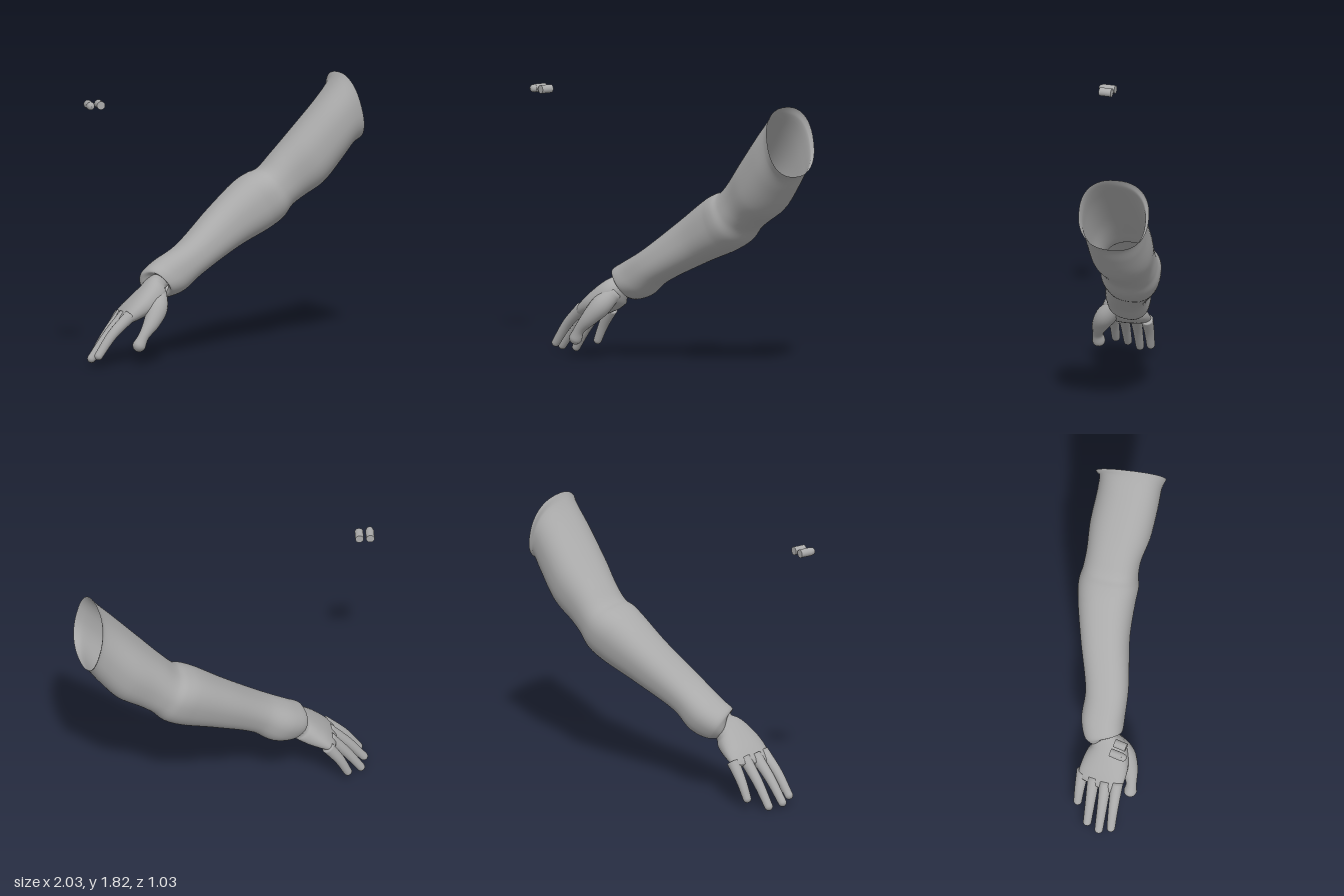
import * as THREE from 'three';

const gray = new THREE.MeshStandardMaterial({ color: 0xaaaaaa, side: THREE.DoubleSide });
gray.name = 'plain gray';

const v3 = (x, y, z) => new THREE.Vector3(x, y, z);

// Skins a list of rings {c, u, v} (v = direction x u) with smooth normals.
function skin(rings, sides, power, closeStart, closeEnd) {
  const pos = [], idx = [];
  const bend = (n) => Math.sign(n) * Math.pow(Math.abs(n), power);
  rings.forEach(({ c, u, v }) => {
    for (let j = 0; j < sides; j++) {
      const a = (j / sides) * Math.PI * 2;
      const p = c.clone().addScaledVector(u, bend(Math.cos(a))).addScaledVector(v, bend(Math.sin(a)));
      pos.push(p.x, p.y, p.z);
    }
  });
  const n = rings.length;
  for (let i = 0; i < n - 1; i++) {
    for (let j = 0; j < sides; j++) {
      const k = (j + 1) % sides;
      const a = i * sides + j, b = i * sides + k;
      idx.push(a, b, b + sides, a, b + sides, a + sides);
    }
  }
  const cap = (ring, flip) => {
    const mid = pos.length / 3, c = rings[ring].c;
    pos.push(c.x, c.y, c.z);
    for (let j = 0; j < sides; j++) {
      const a = ring * sides + j, b = ring * sides + ((j + 1) % sides);
      if (flip) idx.push(mid, b, a);
      else idx.push(mid, a, b);
    }
  };
  if (closeStart) cap(0, true);
  if (closeEnd) cap(n - 1, false);
  const g = new THREE.BufferGeometry();
  g.setAttribute('position', new THREE.Float32BufferAttribute(pos, 3));
  g.setIndex(idx);
  g.computeVertexNormals();
  return g;
}

// Sections: [topX, topY, bottomX, bottomY, centreZ, halfWidth]
function sectionLoft(sections, steps, sides, power, closeStart, closeEnd) {
  const top = new THREE.CatmullRomCurve3(sections.map((s) => v3(s[0], s[1], s[4])));
  const bottom = new THREE.CatmullRomCurve3(sections.map((s) => v3(s[2], s[3], s[4])));
  const width = new THREE.CatmullRomCurve3(sections.map((s, i) => v3(i * 0.1, s[5], 0)));
  const centre = (t) => top.getPoint(t).add(bottom.getPoint(t)).multiplyScalar(0.5);
  const rings = [];
  for (let i = 0; i <= steps; i++) {
    const t = i / steps;
    const dir = centre(Math.min(1, t + 0.05)).sub(centre(Math.max(0, t - 0.05)));
    const u = top.getPoint(t).sub(bottom.getPoint(t)).multiplyScalar(0.5);
    const v = dir.cross(u).normalize().multiplyScalar(width.getPoint(t).y);
    rings.push({ c: centre(t), u, v });
  }
  return skin(rings, sides, power, closeStart, closeEnd);
}

// Round-tipped digit through points [x, y, z, radius]
function digit(points) {
  const path = new THREE.CatmullRomCurve3(points.map((p) => v3(p[0], p[1], p[2])));
  const radius = new THREE.CatmullRomCurve3(points.map((p, i) => v3(i * 0.1, p[3], 0)));
  const rings = [];
  const add = (c, dir, r) => {
    const u = v3(-dir.y, dir.x, 0).normalize();
    const v = dir.clone().cross(u).normalize();
    rings.push({ c, u: u.multiplyScalar(r), v: v.multiplyScalar(r) });
  };
  for (let i = 0; i <= 18; i++) {
    const t = i / 18;
    add(path.getPoint(t), path.getTangent(t), radius.getPoint(t).y);
  }
  const end = path.getPoint(1), dir = path.getTangent(1), r = points[points.length - 1][3];
  for (let k = 1; k <= 5; k++) {
    const a = (k / 5) * 1.45;
    add(end.clone().addScaledVector(dir, r * Math.sin(a)), dir, r * Math.cos(a));
  }
  return skin(rings, 18, 1, true, true);
}

export function createModel() {
  const group = new THREE.Group();
  const add = (name, geometry, parent = group) => {
    const mesh = new THREE.Mesh(geometry, gray);
    mesh.name = name;
    parent.add(mesh);
    return mesh;
  };

  // Sleeve, from cuff through the bent elbow to the open upper end
  add('sleeve', sectionLoft([
    [-0.5, 0.565, -0.4, 0.455, 0.135, 0.095],
    [-0.52, 0.605, -0.37, 0.435, 0.125, 0.125],
    [-0.45, 0.665, -0.26, 0.46, 0.08, 0.142],
    [-0.27, 0.77, -0.13, 0.56, 0.04, 0.142],
    [0, 1.0, 0.16, 0.72, -0.095, 0.163],
    [0.2, 1.16, 0.38, 0.82, -0.175, 0.192],
    [0.28, 1.2, 0.48, 0.885, -0.2, 0.2],
    [0.34, 1.22, 0.55, 0.965, -0.215, 0.186],
    [0.44, 1.32, 0.63, 1.02, -0.23, 0.185],
    [0.58, 1.47, 0.77, 1.11, -0.245, 0.208],
    [0.76, 1.67, 0.9, 1.265, -0.26, 0.21],
    [0.86, 1.79, 0.97, 1.36, -0.275, 0.212],
    [0.89, 1.84, 1.0, 1.385, -0.285, 0.235],
  ], 72, 48, 0.85, false, false));

  // Hand
  const hand = new THREE.Group();
  hand.name = 'hand';
  group.add(hand);
  add('palm', sectionLoft([
    [-0.46, 0.62, -0.36, 0.52, 0.12, 0.08],
    [-0.5, 0.565, -0.4, 0.475, 0.135, 0.09],
    [-0.55, 0.52, -0.425, 0.4, 0.175, 0.125],
    [-0.62, 0.455, -0.51, 0.345, 0.195, 0.152],
    [-0.68, 0.395, -0.605, 0.305, 0.2, 0.158],
    [-0.72, 0.345, -0.675, 0.285, 0.198, 0.15],
    [-0.735, 0.315, -0.71, 0.285, 0.196, 0.125],
  ], 36, 32, 0.85, true, true), hand);
  add('thumb', digit([
    [-0.44, 0.48, 0.2, 0.055],
    [-0.47, 0.39, 0.285, 0.07],
    [-0.52, 0.305, 0.345, 0.056],
    [-0.585, 0.22, 0.385, 0.036],
    [-0.618, 0.16, 0.392, 0.044],
  ]), hand);

  // Fingers: base, middle joint and tip
  const fingers = {
    littleFinger: [[-0.67, 0.325, 0.07], [-0.75, 0.21, 0.082], [-0.805, 0.1, 0.092]],
    ringFinger: [[-0.68, 0.34, 0.155], [-0.8, 0.195, 0.182], [-0.898, 0.05, 0.202]],
    middleFinger: [[-0.68, 0.345, 0.24], [-0.81, 0.21, 0.272], [-0.922, 0.067, 0.296]],
    indexFinger: [[-0.66, 0.35, 0.315], [-0.79, 0.23, 0.345], [-0.89, 0.095, 0.37]],
  };
  for (const [name, p] of Object.entries(fingers)) {
    add(name, digit(p.map((q, i) => [...q, [0.042, 0.034, 0.028][i]])), hand);
  }

  // Two small floating cylinders, one with a domed nose
  const domed = [[0, 0], [0.028, 0], [0.028, 0], [0.028, 0.084], [0.028, 0.084], [0.026, 0.084],
    [0.026, 0.092], [0.023, 0.105], [0.015, 0.113], [0, 0.116]];
  const round = add('domedCylinder', new THREE.LatheGeometry(domed.map((p) => new THREE.Vector2(...p)), 24));
  round.rotation.x = Math.PI / 2;
  round.position.set(-0.972, 1.803, 0.402);
  const flat = add('flatCylinder', new THREE.CylinderGeometry(0.028, 0.028, 0.084, 24));
  flat.rotation.x = Math.PI / 2;
  flat.position.set(-0.9, 1.803, 0.444);

  return group;
}
